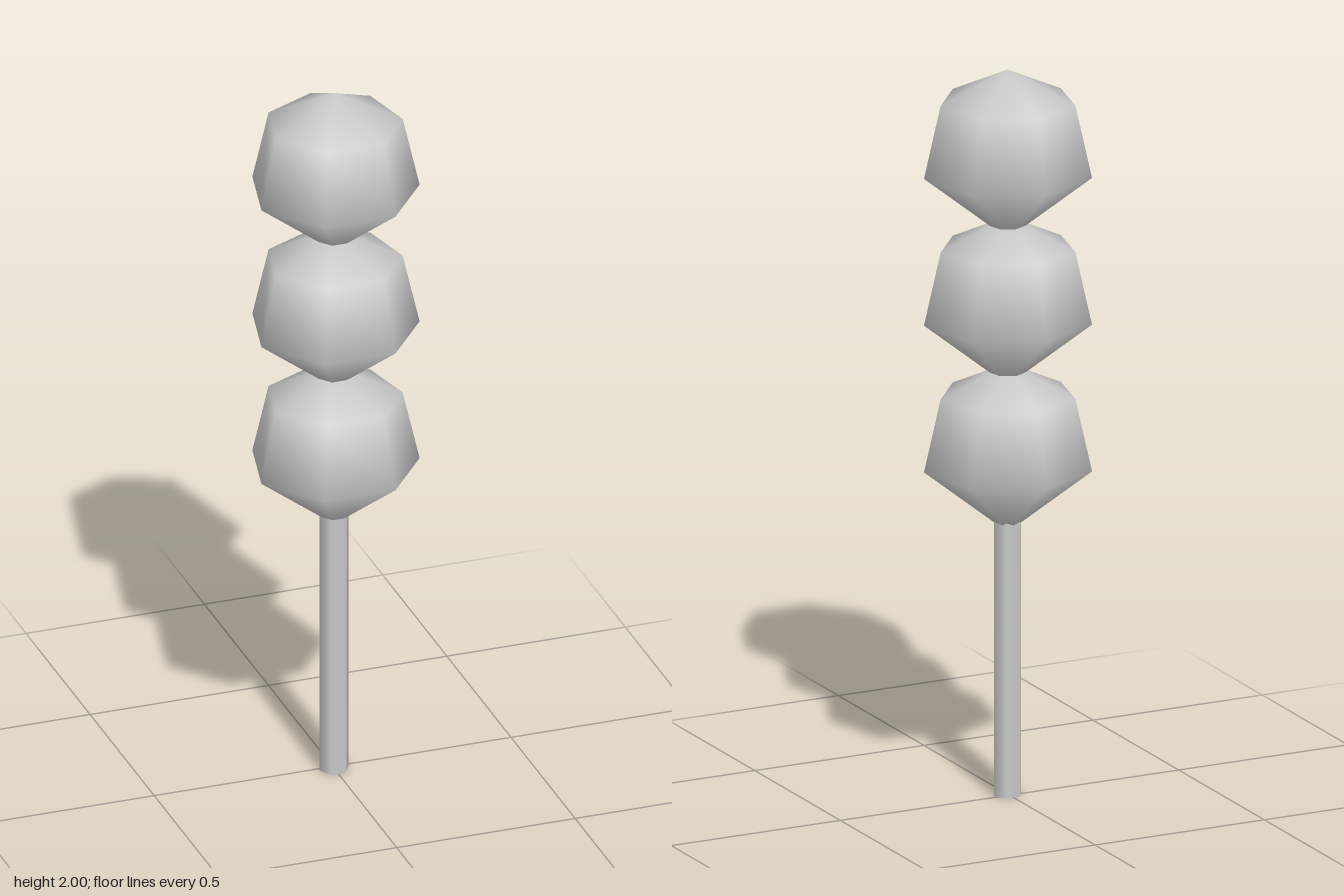
import * as THREE from 'three';

const RADIUS = 0.2333;
const SIDES = 7;
const CENTER_Z = 0.011;
const STEP = (2 * Math.PI) / SIDES;

// Seven-sided ball: two rings between the poles, smooth spherical normals
function ballGeometry() {
  const profile = [Math.PI, 2 * STEP, STEP, 0].map(
    (a) => new THREE.Vector2(Math.abs(Math.sin(a)) * RADIUS, Math.cos(a) * RADIUS));
  const geometry = new THREE.LatheGeometry(profile, SIDES, Math.PI);
  const { position, normal } = geometry.attributes;
  const v = new THREE.Vector3();
  for (let i = 0; i < position.count; i++) {
    v.fromBufferAttribute(position, i).normalize();
    normal.setXYZ(i, v.x, v.y, v.z);
  }
  return geometry;
}

export function createModel() {
  const model = new THREE.Group();
  model.name = 'skeweredDumplings';
  const material = new THREE.MeshStandardMaterial({ color: 0xcccccc });

  // Hexagonal stick, ending inside the lowest dumpling
  const stick = new THREE.Mesh(
    new THREE.CylinderGeometry(0.04, 0.04, 0.9, 6, 1, false, Math.PI / 2), material);
  stick.name = 'stick';
  stick.position.set(0, 0.45, CENTER_Z);
  model.add(stick);

  // Three dumplings, overlapping slightly
  const ball = ballGeometry();
  for (let i = 0; i < 3; i++) {
    const dumpling = new THREE.Mesh(ball, material);
    dumpling.name = 'dumpling' + (i + 1);
    dumpling.position.set(0, 2 - RADIUS - i * 0.405, CENTER_Z);
    model.add(dumpling);
  }
  return model;
}
